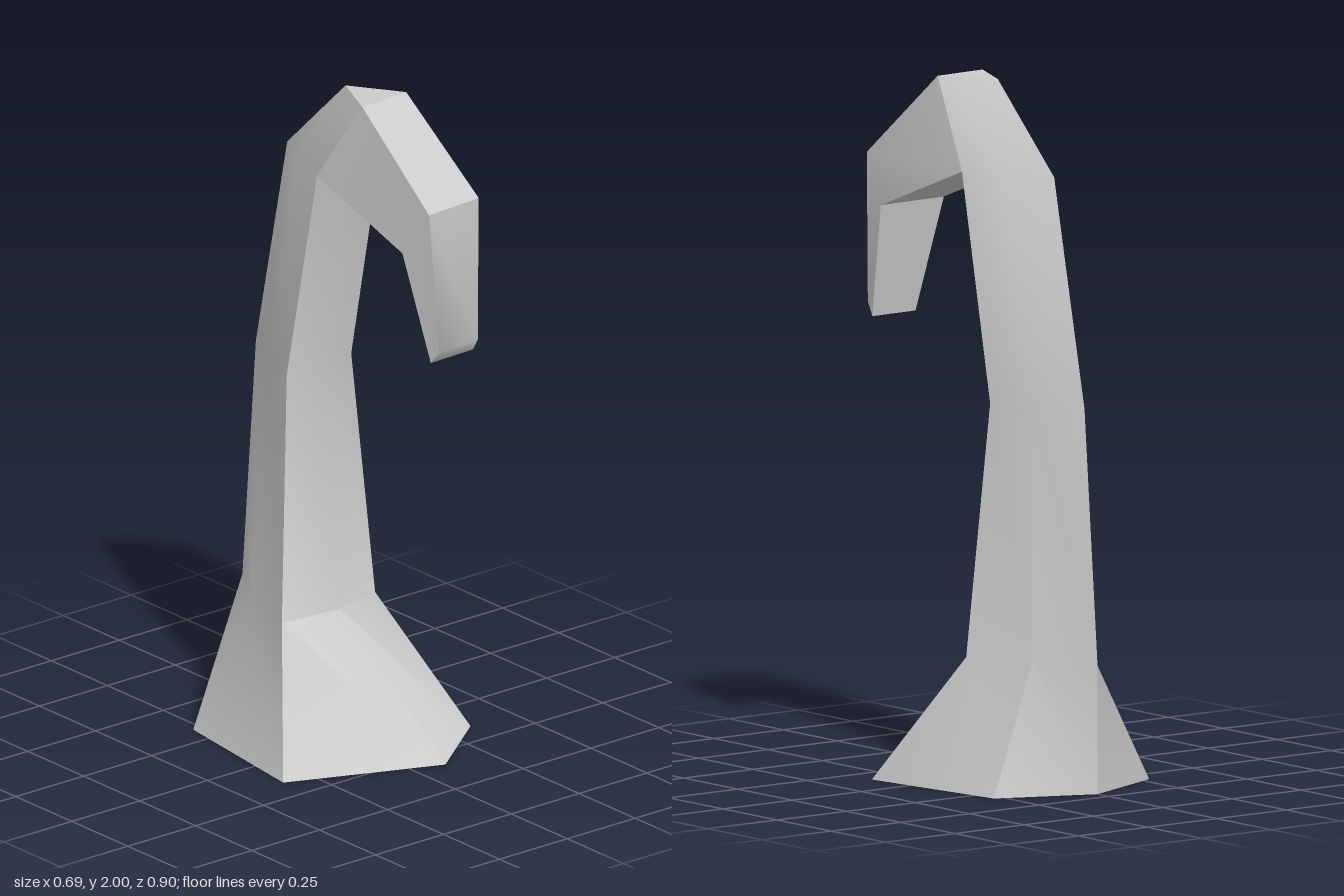
import * as THREE from 'three';
import { toCreasedNormals } from 'three/addons/utils/BufferGeometryUtils.js';

const material = new THREE.MeshStandardMaterial({ color: 0xcccccc });

// Collects polygons (corners counter-clockwise from outside) into one mesh
function polygonMesh(name, faces) {
  const positions = [];
  for (const f of faces) {
    for (let i = 1; i < f.length - 1; i++) positions.push(...f[0], ...f[i], ...f[i + 1]);
  }
  const geometry = new THREE.BufferGeometry();
  geometry.setAttribute('position', new THREE.Float32BufferAttribute(positions, 3));
  const mesh = new THREE.Mesh(toCreasedNormals(geometry, 0.7), material);
  mesh.name = name;
  return mesh;
}

// Six-cornered cross-section: back, right mid, right front, front, left front, left mid
const ring = (y, corners) => corners.map(([x, z]) => [x, y, z]);

export function createModel() {
  const group = new THREE.Group();
  group.name = 'hookedNeck';

  const rings = [
    ring(0, [[0, -0.45], [0.28, -0.33], [0.345, 0.15], [0.1, 0.335], [-0.345, 0.15], [-0.28, -0.33]]),
    ring(0.37, [[0, -0.45], [0.12, -0.3], [0.2, -0.1], [0.04, -0.065], [-0.16, -0.08], [-0.09, -0.3]]),
    ring(1.1, [[0, -0.39], [0.09, -0.27], [0.145, -0.14], [0.02, -0.12], [-0.105, -0.125], [-0.055, -0.275]]),
    ring(1.75, [[0, -0.25], [0.09, -0.12], [0.145, -0.01], [0.02, 0.01], [-0.105, 0.01], [-0.055, -0.14]]),
  ];
  const [back, midR, neckR, neckF, neckL, midL] = rings[3];

  // Crown, brow, inner bend and tip of the hook
  const apex = [0, 2, 0.01];
  const crownL = [-0.07, 2, 0.17], crownR = [0.1, 2, 0.16];
  const browL = [-0.055, 1.75, 0.45], browR = [0.14, 1.75, 0.435];
  const innerL = [-0.075, 1.61, 0.355], innerR = [0.16, 1.61, 0.345];
  const tipFrontL = [-0.015, 1.32, 0.447], tipFrontR = [0.135, 1.32, 0.437];
  const tipBackL = [-0.02, 1.28, 0.415], tipBackR = [0.14, 1.28, 0.41];

  // Flared foot and neck, lofted through the rings
  const stem = [rings[0]];
  for (let r = 0; r < rings.length - 1; r++) {
    for (let i = 0; i < 6; i++) {
      const j = (i + 1) % 6;
      const a = rings[r], b = rings[r + 1];
      stem.push([a[i], b[i], b[j], a[j]]);
    }
  }
  // Back of the head, closing the neck onto the crown
  stem.push(
    [back, apex, midR], [midR, apex, crownR], [midR, crownR, neckR],
    [midL, apex, back], [midL, crownL, apex], [neckL, crownL, midL],
  );
  group.add(polygonMesh('footAndNeck', stem));

  // Hooked head: a strip over the front and round the tip, plus both sides
  const left = [apex, crownL, browL, tipFrontL, tipBackL, innerL];
  const right = [apex, crownR, browR, tipFrontR, tipBackR, innerR];
  const head = [[apex, crownL, crownR]];
  for (let i = 1; i < left.length - 1; i++) {
    head.push([left[i], left[i + 1], right[i + 1], right[i]]);
  }
  head.push(
    [innerL, neckL, neckF, neckR, innerR],
    [neckR, crownR, browR, innerR], [innerR, browR, tipFrontR, tipBackR],
    [innerL, browL, crownL, neckL], [tipBackL, tipFrontL, browL, innerL],
  );
  group.add(polygonMesh('hookedHead', head));

  return group;
}
